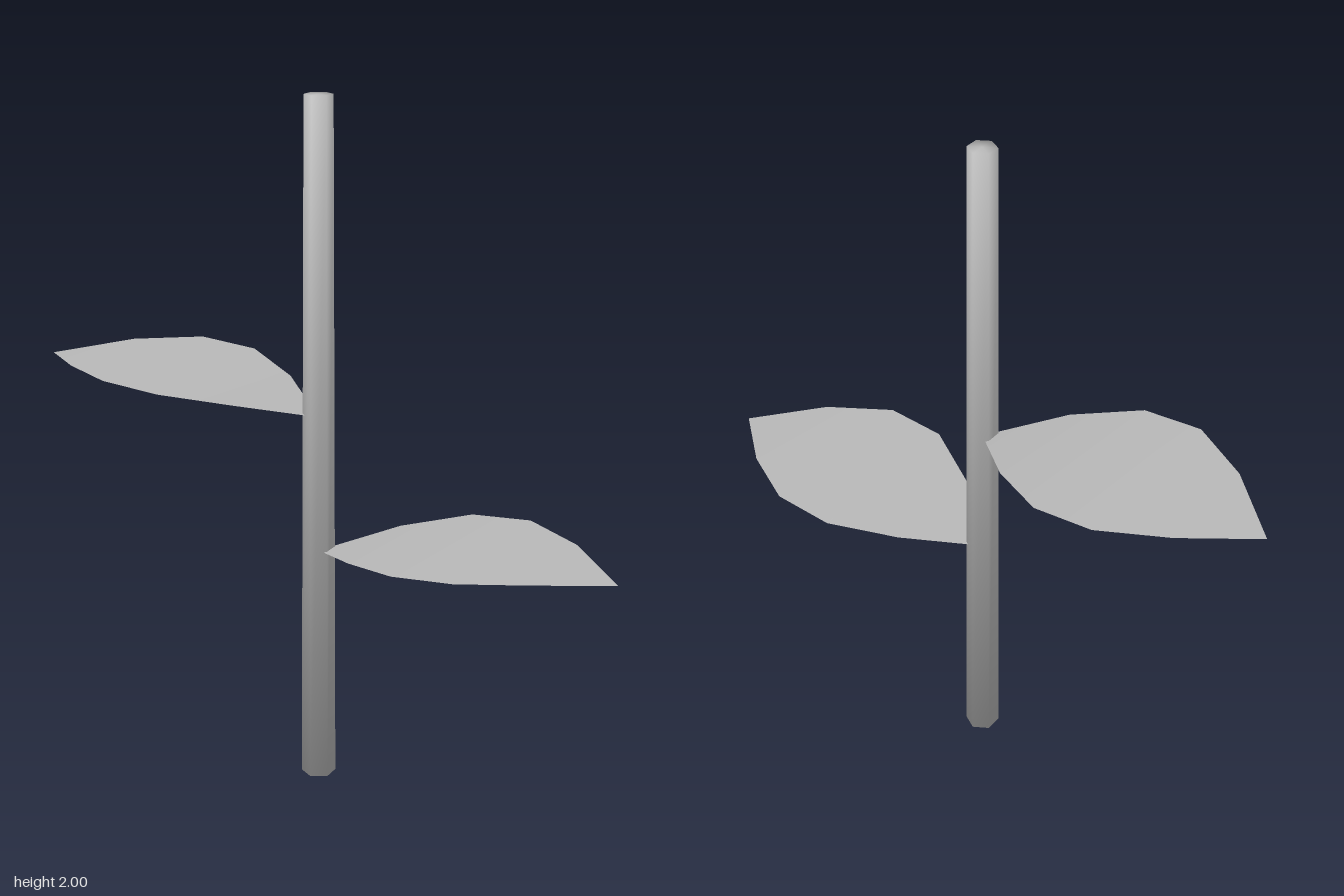
import * as THREE from 'three';

const LEAF_LENGTH = 0.9;

// Six-sided tapered stem, shaded smoothly over its end caps
function stemGeometry() {
  const geo = new THREE.CylinderGeometry(0.04, 0.05, 2, 6, 1);
  geo.translate(0, 1, 0);
  const { position, normal } = geo.attributes;
  for (let i = 0; i < position.count; i++) {
    const x = position.getX(i), z = position.getZ(i);
    const end = position.getY(i) > 1 ? 1 : -1;
    const r = Math.hypot(x, z);
    if (r < 0.001) normal.setXYZ(i, 0, end, 0);
    else normal.setXYZ(i, 0.8 * x / r, 0.6 * end, 0.8 * z / r);
  }
  return geo;
}

// Pointed leaf growing along +x: sine outline, arched and drooping at the tip
function leafGeometry() {
  const geo = new THREE.PlaneGeometry(1, 1, 5, 1);
  geo.rotateX(-Math.PI / 2);
  const p = geo.attributes.position;
  for (let i = 0; i < p.count; i++) {
    const t = p.getX(i) + 0.5;
    const side = Math.sign(p.getZ(i));
    const rise = 0.1 * (1 - (1 - t / 0.64) ** 2);
    p.setXYZ(i, t * LEAF_LENGTH, rise, side * 0.28 * Math.sin(Math.PI * t));
  }
  geo.computeVertexNormals();
  return geo;
}

export function createModel() {
  const grey = new THREE.MeshStandardMaterial({ color: 0xb8b8b8, side: THREE.DoubleSide });
  grey.name = 'plainGrey';

  const model = new THREE.Group();
  model.name = 'plant';

  const stem = new THREE.Mesh(stemGeometry(), grey);
  stem.name = 'stem';
  model.add(stem);

  // Lower leaf to the left (+x), upper leaf turned to the right (-x)
  const leafGeo = leafGeometry();
  for (const [name, y, turn] of [['lowerLeaf', 0.7, 0], ['upperLeaf', 1.1, Math.PI]]) {
    const leaf = new THREE.Mesh(leafGeo, grey);
    leaf.name = name;
    leaf.position.y = y;
    leaf.rotation.y = turn;
    model.add(leaf);
  }
  return model;
}
